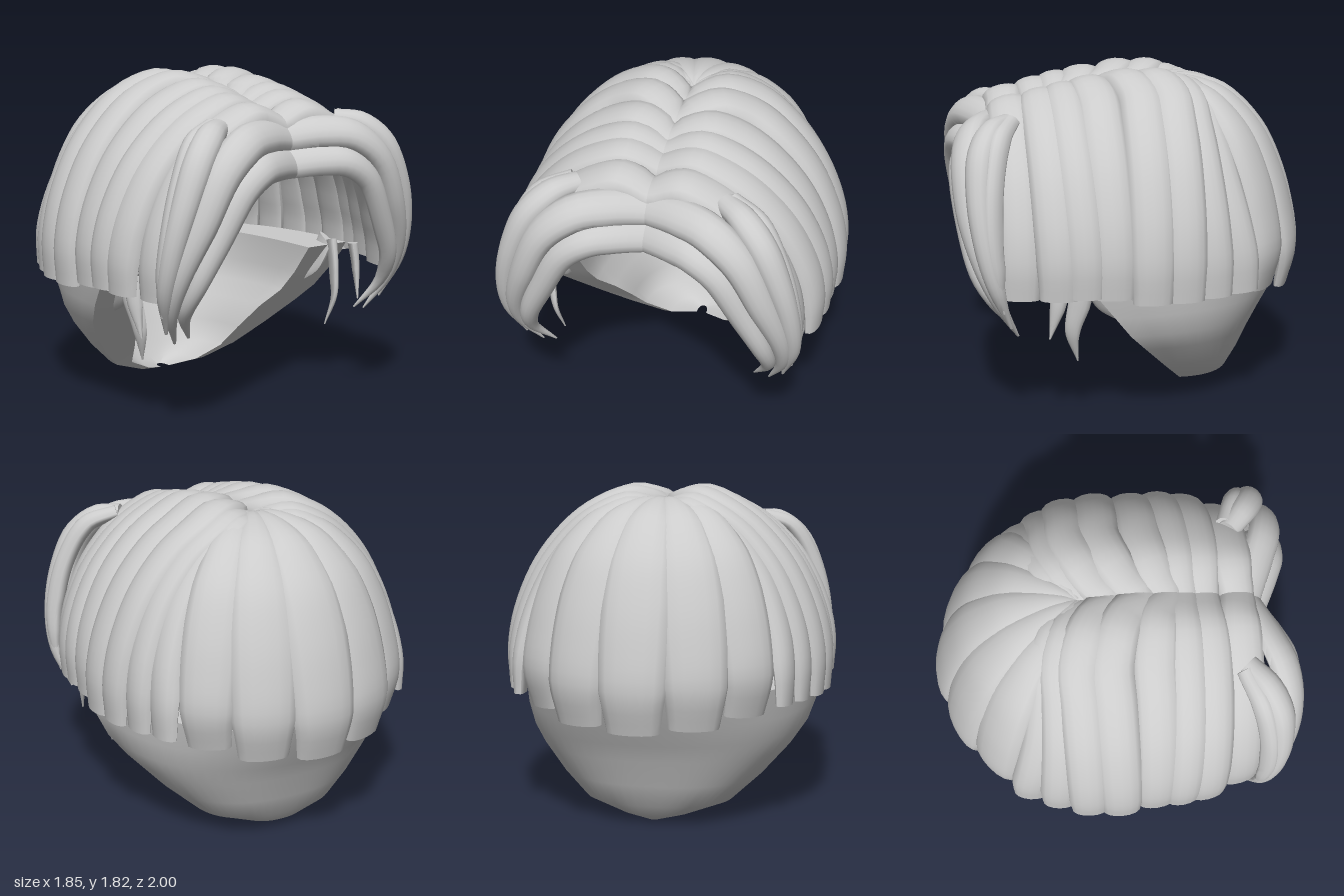
import * as THREE from 'three';
import { toCreasedNormals } from 'three/addons/utils/BufferGeometryUtils.js';

const material = new THREE.MeshStandardMaterial({ color: 0xcccccc, side: THREE.DoubleSide });
const V = (x, y, z) => new THREE.Vector3(x, y, z);

// Linear lookup in a short list, u from 0 to 1
function sample(list, u) {
  const f = u * (list.length - 1), i = Math.min(Math.floor(f), list.length - 2);
  return THREE.MathUtils.lerp(list[i], list[i + 1], f - i);
}

function mesh(name, positions, index, crease) {
  const g = new THREE.BufferGeometry();
  g.setAttribute('position', new THREE.Float32BufferAttribute(positions, 3));
  g.setIndex(index);
  const m = new THREE.Mesh(toCreasedNormals(g, crease), material);
  m.name = name;
  return m;
}

// A domed strand swept along a path that lies on its outer ridge.
// zFollow turns the strand's back toward the head's axis (0) or its side plane (1).
function lock(name, points, widths, depths, zFollow = 0, steps = 28) {
  const curve = new THREE.CatmullRomCurve3(points, false, 'centripetal');
  const pos = [], idx = [], M = 16;
  for (let i = 0; i <= steps; i++) {
    const u = i / steps, p = curve.getPointAt(u), t = curve.getTangentAt(u);
    const n = p.clone().sub(V(0, 0.8, p.z * zFollow));
    n.addScaledVector(t, -n.dot(t)).normalize();
    const s = t.clone().cross(n);
    const w = sample(widths, u), d = sample(depths, u);
    for (let j = 0; j < M; j++) {
      const a = j / M * Math.PI * 2, h = Math.sin(a);
      const q = p.clone().addScaledVector(s, w * Math.cos(a))
        .addScaledVector(n, d * ((h > 0 ? Math.pow(h, 0.8) : h * 0.35) - 1));
      pos.push(q.x, q.y, q.z);
    }
  }
  for (let i = 0; i < steps; i++) for (let j = 0; j < M; j++) {
    const a = i * M + j, b = i * M + (j + 1) % M;
    idx.push(a, a + M, b, b, a + M, b + M);
  }
  // End caps
  for (let j = 1; j < M - 1; j++) {
    const e = steps * M;
    idx.push(0, j, j + 1, e, e + j + 1, e + j);
  }
  return mesh(name, pos, idx, 0.85);
}

// Side strands: [root z, shoulder z, end z, half width, reach in x, top y, bottom y]
const SIDE = [
  [0.69, 0.67, 0.67, 0.125, 0.80, 1.70, 0.73],
  [0.50, 0.50, 0.47, 0.120, 0.88, 1.74, 0.74],
  [0.39, 0.37, 0.33, 0.110, 0.90, 1.77, 0.75],
  [0.30, 0.20, 0.18, 0.125, 0.90, 1.80, 0.74],
  [0.16, -0.03, -0.02, 0.125, 0.92, 1.83, 0.71],
  [0.0, -0.20, -0.20, 0.120, 0.90, 1.83, 0.71],
  [-0.11, -0.30, -0.37, 0.110, 0.84, 1.80, 0.71],
  [-0.16, -0.36, -0.53, 0.110, 0.77, 1.78, 0.71],
];
// Front outline of a side strand as [x, y, blend], blend 0..1..2 = root..shoulder..end.
// It starts just past the parting so that both halves meet.
const ARCH = [[-0.04, 1.745, 0], [0.02, 1.77, 0.05], [0.10, 1.81, 0.4], [0.21, 1.83, 0.72], [0.38, 1.77, 1],
  [0.56, 1.65, 1.1], [0.75, 1.43, 1.35], [0.88, 1.15, 1.7], [0.925, 0.92, 1.95], [0.915, 0.72, 2]];

function sideLock([z0, z1, z2, w, reach, top, bottom], side) {
  const pts = ARCH.map(([x, y, b]) => V(side * x * reach / 0.92,
    bottom + (y - 0.72) * (top - bottom) / 1.11, sample([z0, z1, z2], b / 2)));
  return lock('sideLock', pts, [w * 0.75, w * 0.9, w, w, w, w, w, w * 0.97, w * 0.85],
    [0.06, 0.07, 0.08, 0.08, 0.08, 0.08, 0.05], 0.75);
}

// Back strands fan out from the crown: profile of [distance fraction, y]
const BACK = [[0, 1.74], [0.07, 1.77], [0.22, 1.775], [0.46, 1.72], [0.62, 1.62], [0.76, 1.48], [0.87, 1.29],
  [0.95, 1.08], [1, 0.82], [0.94, 0.6]];

function backLock(x, z, w, bottom) {
  const pts = BACK.map(([r, y]) => V(x * r, bottom + (y - 0.6) * (1.77 - bottom) / 1.17, -0.17 + (z + 0.17) * r));
  return lock('backLock', pts, [0.03, w * 0.5, w * 0.75, w * 0.92, w, w, w * 0.95, w * 0.75],
    [0.04, 0.07, 0.08, 0.08, 0.08, 0.08, 0.05]);
}

// Fringe strands sweep from the parting out and down to curled tips
const FRINGE = [
  { pts: [[-0.03, 1.42, 0.81], [0.14, 1.44, 0.90], [0.28, 1.43, 0.96], [0.43, 1.33, 0.98], [0.56, 1.10, 0.96],
    [0.67, 0.83, 0.90], [0.68, 0.66, 0.80], [0.57, 0.51, 0.68]], w: [0.09, 0.09, 0.085, 0.08, 0.07, 0.055, 0.04, 0.008] },
  { pts: [[-0.03, 1.56, 0.76], [0.18, 1.59, 0.85], [0.36, 1.57, 0.92], [0.54, 1.43, 0.96], [0.67, 1.17, 0.95],
    [0.76, 0.87, 0.87], [0.75, 0.67, 0.78], [0.65, 0.49, 0.67]], w: [0.09, 0.1, 0.1, 0.09, 0.08, 0.06, 0.04, 0.008] },
  { pts: [[0.38, 1.635, 0.70], [0.50, 1.62, 0.80], [0.64, 1.50, 0.88], [0.75, 1.26, 0.90],
    [0.81, 1.00, 0.87], [0.81, 0.78, 0.81], [0.73, 0.56, 0.71]], w: [0.06, 0.08, 0.08, 0.07, 0.06, 0.045, 0.008] },
  { pts: [[0.42, 1.635, 0.69], [0.60, 1.57, 0.77], [0.73, 1.36, 0.82], [0.81, 1.08, 0.83],
    [0.82, 0.85, 0.80], [0.78, 0.66, 0.75]], w: [0.05, 0.055, 0.05, 0.045, 0.04, 0.008] },
];

// Thin loose strands and the sideburn below the sides
const WISPS = [
  { pts: [[0.78, 0.82, 0.46], [0.78, 0.68, 0.48], [0.75, 0.50, 0.51]], w: [0.06, 0.04, 0.004] },
  { pts: [[0.74, 0.82, 0.32], [0.72, 0.66, 0.36], [0.69, 0.50, 0.39], [0.64, 0.33, 0.35]], w: [0.06, 0.06, 0.04, 0.004] },
  { pts: [[0.76, 0.80, 0.25], [0.72, 0.68, 0.20], [0.70, 0.59, 0.08], [0.68, 0.53, -0.03]], w: [0.09, 0.08, 0.06, 0.02] },
];

// Nape shell rows: [y, half width, front z, back z, side thickness]
const NAPE = [[0.79, 0.85, 0.30, -0.91, 0.30], [0.62, 0.82, 0.17, -0.83, 0.27], [0.5, 0.78, 0.08, -0.76, 0.26],
  [0.4, 0.71, -0.01, -0.71, 0.27], [0.25, 0.57, -0.14, -0.65, 0.2], [0.12, 0.42, -0.25, -0.59, 0.1],
  [0.05, 0.22, -0.29, -0.53, 0.05], [0.01, 0.04, -0.38, -0.46, 0.01]];

function nape() {
  const pos = [], idx = [], N = 32, R = 2 * (N + 1);
  for (const [y, w, f, b, thick] of NAPE) {
    const backThick = Math.min(0.07, thick);
    for (let k = 0; k < R; k++) {
      // Outer arc one way round, inner arc back again
      const inner = k > N, a = (inner ? R - 1 - k : k) / N * Math.PI, c = Math.cos(a);
      const x = (w - (inner ? thick : 0)) * Math.sign(c) * Math.pow(Math.abs(c), 0.85);
      pos.push(x, y, f + (b + (inner ? backThick : 0) - f) * Math.pow(Math.max(0, Math.sin(a)), 0.85));
    }
  }
  for (let i = 0; i < NAPE.length - 1; i++) for (let k = 0; k < R; k++) {
    const a = i * R + k, b = i * R + (k + 1) % R;
    idx.push(a, b, a + R, b, b + R, a + R);
  }
  // Top rim and bottom
  const last = (NAPE.length - 1) * R;
  for (let k = 0; k < N; k++) {
    const o = R - 1 - k;
    idx.push(k, o, k + 1, k + 1, o, o - 1);
    idx.push(last + k, last + k + 1, last + o, last + k + 1, last + o - 1, last + o);
  }
  return mesh('nape', pos, idx, 0.9);
}

export function createModel() {
  const model = new THREE.Group();
  model.name = 'hair';
  model.add(nape(), backLock(0, -1.0, 0.19, 0.6));
  for (const side of [1, -1]) {
    const half = new THREE.Group();
    half.name = side > 0 ? 'leftHair' : 'rightHair';
    for (const spec of SIDE) half.add(sideLock(spec, side));
    half.add(backLock(side * 0.34, -0.92, 0.18, 0.62), backLock(side * 0.6, -0.74, 0.16, 0.67));
    const strands = (name, list, depths) => list.forEach(({ pts, w }) =>
      half.add(lock(name, pts.map(([x, y, z]) => V(side * x, y, z)), w, depths)));
    strands('fringeLock', FRINGE, [0.06, 0.08, 0.08, 0.08, 0.06, 0.008]);
    strands('wisp', WISPS, [0.04, 0.03, 0.006]);
    model.add(half);
  }
  return model;
}
